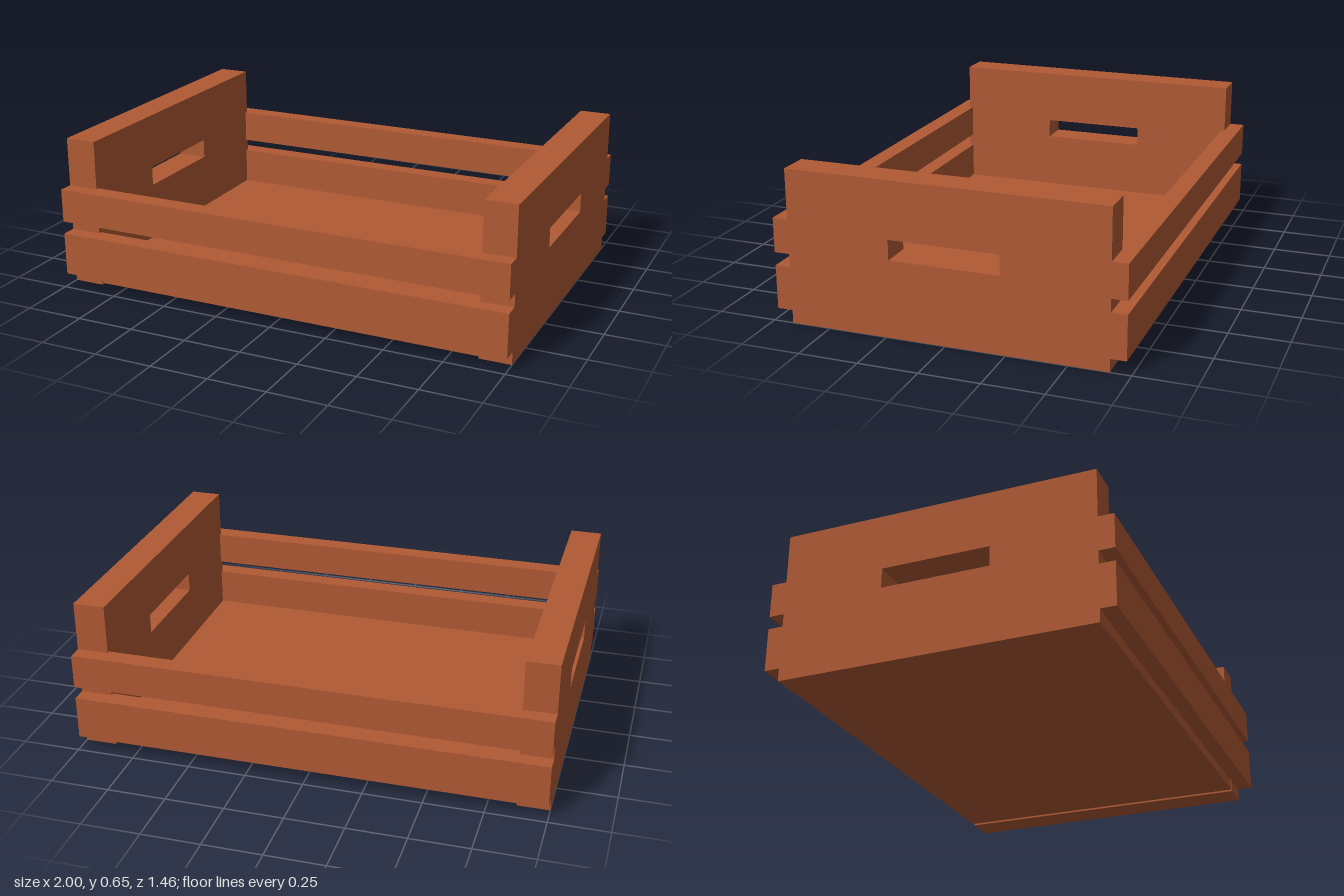
import * as THREE from 'three';

export function createModel() {
  const crate = new THREE.Group();
  crate.name = 'crate';
  const wood = new THREE.MeshStandardMaterial({ color: 0xb05a34 });
  wood.name = 'reddish wood';

  function add(name, geometry, x, y, z) {
    const mesh = new THREE.Mesh(geometry, wood);
    mesh.name = name;
    mesh.position.set(x, y, z);
    crate.add(mesh);
  }

  // End panel outline with a rectangular hand hole
  const thickness = 0.135;
  const outline = new THREE.Shape([[-0.665, 0], [0.665, 0], [0.665, 0.65], [-0.665, 0.65]]
    .map(([a, b]) => new THREE.Vector2(a, b)));
  outline.holes.push(new THREE.Path([[-0.23, 0.325], [-0.23, 0.41], [0.23, 0.41], [0.23, 0.325]]
    .map(([a, b]) => new THREE.Vector2(a, b))));
  const panel = new THREE.ExtrudeGeometry(outline, { depth: thickness, bevelEnabled: false });
  panel.rotateY(Math.PI / 2);
  add('leftEndPanel', panel, 1 - thickness, 0, 0);
  add('rightEndPanel', panel, -1, 0, 0);

  // Front and back slats: a wide one below a narrow one
  for (const [side, sign] of [['front', 1], ['back', -1]]) {
    for (const [level, bottom, top] of [['Lower', 0.055, 0.24], ['Upper', 0.295, 0.44]]) {
      add(`${side}${level}Slat`, new THREE.BoxGeometry(2, top - bottom, 0.08),
        0, (bottom + top) / 2, sign * 0.69);
    }
  }

  // Floor board between the end panels, just clear of the ground
  add('floor', new THREE.BoxGeometry(2 - 2 * thickness, 0.07, 1.325), 0, 0.043, 0);

  return crate;
}
